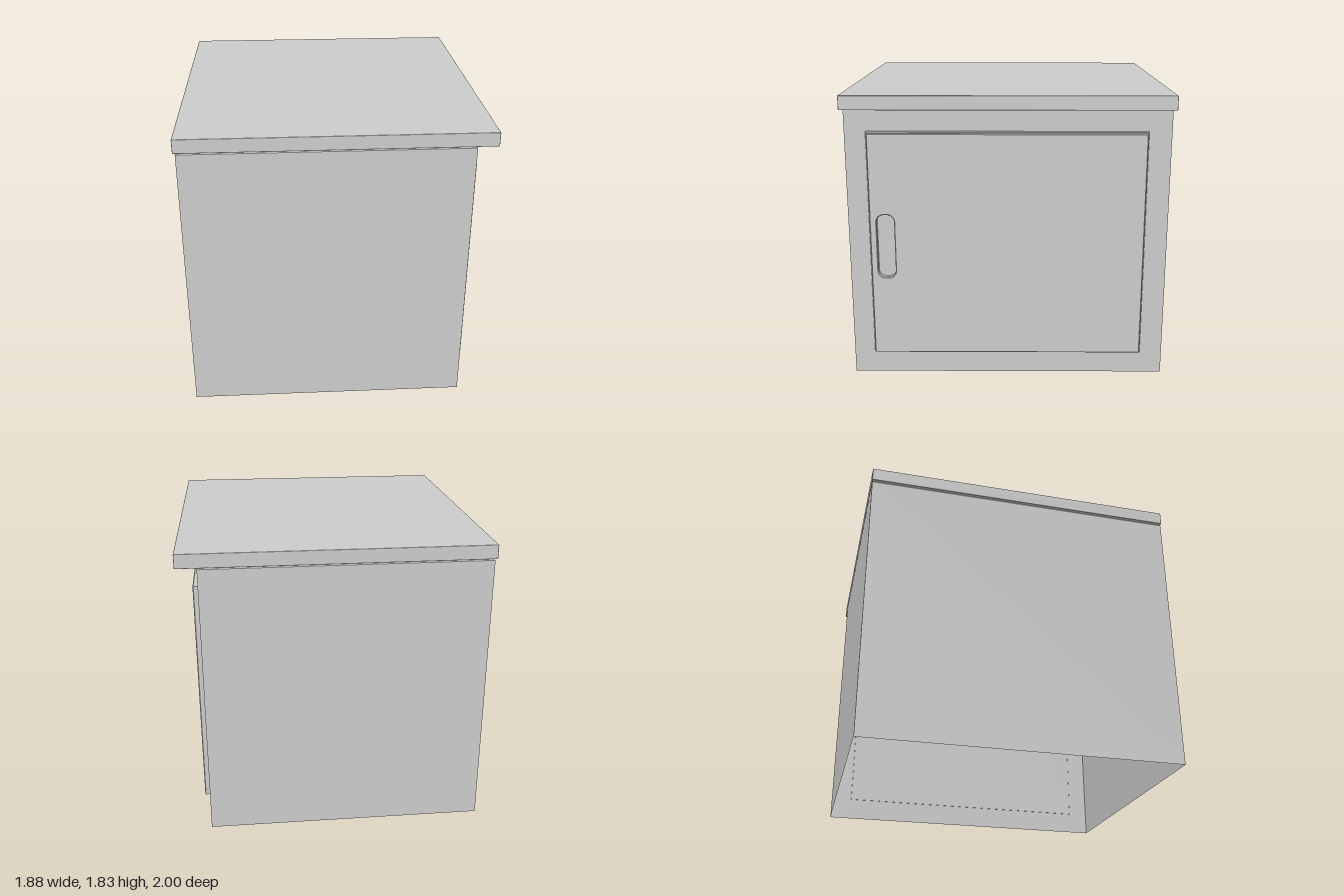
import * as THREE from 'three';
import { RoundedBoxGeometry } from 'three/addons/geometries/RoundedBoxGeometry.js';

const grey = new THREE.MeshStandardMaterial({ color: 0xcccccc });
const sheet = new THREE.MeshStandardMaterial({ color: 0xcccccc, side: THREE.DoubleSide, flatShading: true });

// Rectangular sheet-metal walls, open below, with a chamfered top rim
function openShell(name, width, depth, height, chamfer) {
  const profile = [
    new THREE.Vector2(1, 0),
    new THREE.Vector2(1, height - chamfer),
    new THREE.Vector2(1 - chamfer, height),
  ];
  const geometry = new THREE.LatheGeometry(profile, 4, Math.PI / 4);
  geometry.scale(width * Math.SQRT1_2, 1, depth * Math.SQRT1_2);
  const mesh = new THREE.Mesh(geometry, sheet);
  mesh.name = name;
  return mesh;
}

// Rectangle outline with rounded corners
function roundedRect(path, x0, y0, x1, y1, r) {
  path.moveTo(x0 + r, y0);
  path.lineTo(x1 - r, y0);
  path.absarc(x1 - r, y0 + r, r, -Math.PI / 2, 0);
  path.lineTo(x1, y1 - r);
  path.absarc(x1 - r, y1 - r, r, 0, Math.PI / 2);
  path.lineTo(x0 + r, y1);
  path.absarc(x0 + r, y1 - r, r, Math.PI / 2, Math.PI);
  path.lineTo(x0, y0 + r);
  path.absarc(x0 + r, y0 + r, r, Math.PI, Math.PI * 1.5);
  return path;
}

// Bevelled panel on the +x side with a finger slot cut through it.
// Shape x runs along -z, thickness runs along +x.
function sidePanel(name, [x0, y0, x1, y1], xStart, xEnd, bevel) {
  const shape = new THREE.Shape([
    new THREE.Vector2(x0, y0), new THREE.Vector2(x1, y0),
    new THREE.Vector2(x1, y1), new THREE.Vector2(x0, y1),
  ]);
  shape.holes.push(roundedRect(new THREE.Path(), -0.817, 0.668, -0.708, 1.078, 0.045));
  const geometry = new THREE.ExtrudeGeometry(shape, {
    depth: xEnd - xStart - 2 * bevel,
    bevelThickness: bevel, bevelSize: bevel, bevelOffset: -bevel, bevelSegments: 1,
    curveSegments: 10,
  });
  geometry.translate(0, 0, xStart + bevel);
  geometry.rotateY(Math.PI / 2);
  const mesh = new THREE.Mesh(geometry, grey);
  mesh.name = name;
  return mesh;
}

export function createModel() {
  const group = new THREE.Group();
  group.name = 'cabinet';

  // Hollow carcass, open at the bottom
  const body = openShell('body', 1.734, 1.996, 1.747, 0.008);
  body.position.x = -0.056;
  group.add(body);

  // Overhanging worktop
  const worktop = new THREE.Mesh(new RoundedBoxGeometry(1.876, 0.087, 2, 2, 0.004), grey);
  worktop.position.y = 1.79;
  worktop.name = 'worktop';
  group.add(worktop);

  // Thin raised surround and the door on it, the slot ending at the carcass wall
  group.add(sidePanel('doorSurround', [-0.868, 0.142, 0.858, 1.6], 0.81, 0.818, 0.003));
  group.add(sidePanel('door', [-0.86, 0.152, 0.85, 1.59], 0.814, 0.849, 0.005));

  return group;
}
